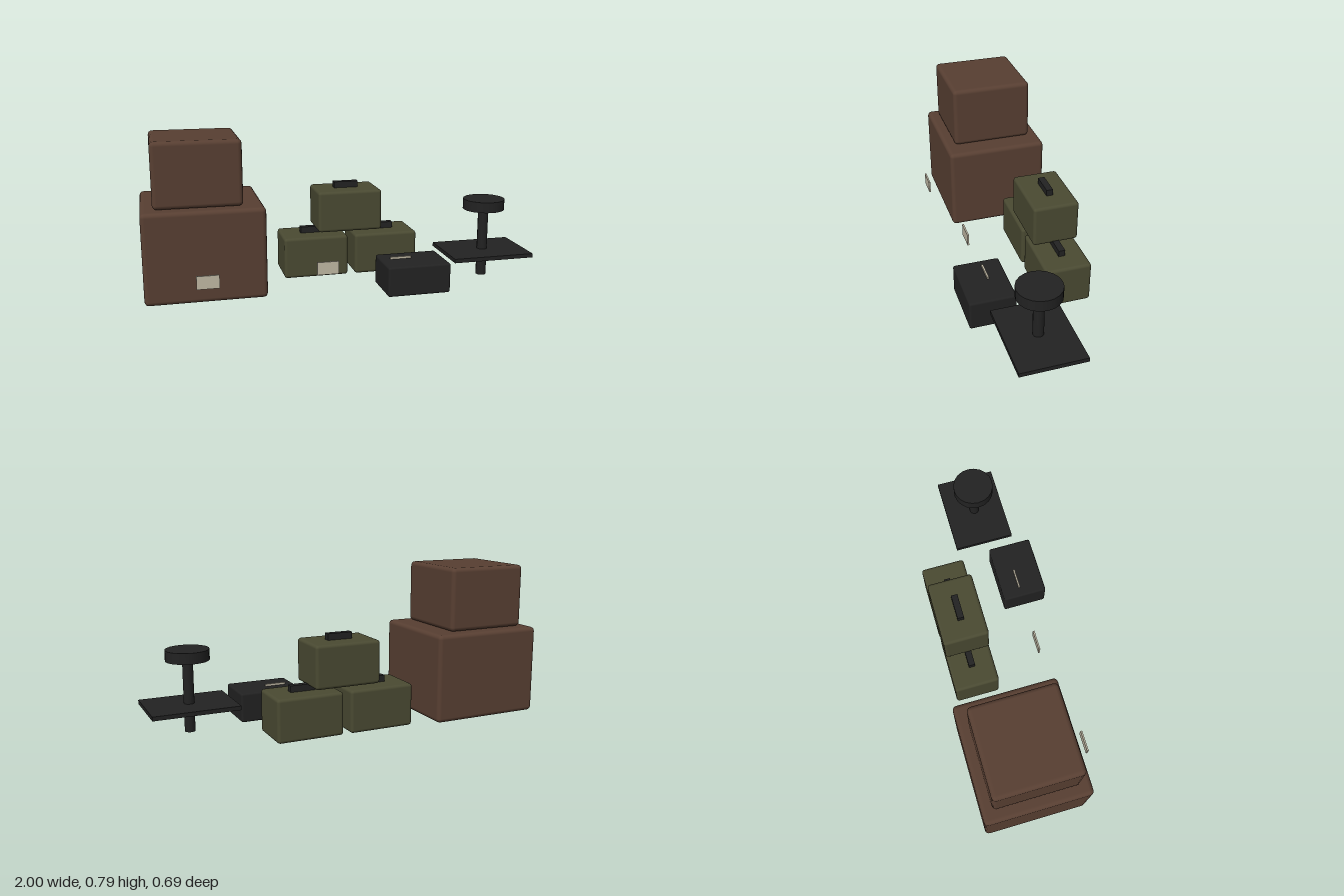
import * as THREE from 'three';
import { RoundedBoxGeometry } from 'three/addons/geometries/RoundedBoxGeometry.js';

export function createModel() {
  const model = new THREE.Group();
  model.name = 'luggageStack';

  const material = (name, color) => {
    const m = new THREE.MeshStandardMaterial({ color });
    m.name = name;
    return m;
  };
  const brown = material('brown leather', 0x583f32);
  const olive = material('olive canvas', 0x4a4a32);
  const black = material('black', 0x222222);
  const cream = material('cream label', 0xc0b8a4);

  const add = (name, geometry, mat, x, y, z, parent = model) => {
    const mesh = new THREE.Mesh(geometry, mat);
    mesh.name = name;
    mesh.position.set(x, y, z);
    parent.add(mesh);
    return mesh;
  };
  // Soft-edged box standing on height y
  const softBox = (name, w, h, d, r, mat, x, y, z, parent) =>
    add(name, new RoundedBoxGeometry(w, h, d, 2, r), mat, x, y + h / 2, z, parent);

  // Two stacked brown trunks
  softBox('lowerTrunk', 0.6, 0.46, 0.545, 0.022, brown, -0.7, 0, -0.072);
  softBox('upperTrunk', 0.436, 0.329, 0.436, 0.022, brown, -0.722, 0.461, -0.071);

  // Three olive cases in a pyramid, each with a handle
  const cases = [[-0.098, 0], [0.287, 0], [0.088, 0.241]];
  for (const [x, y] of cases) {
    const unit = new THREE.Group();
    unit.name = 'handledCase';
    unit.position.set(x, y, -0.18);
    softBox('caseBody', 0.346, 0.219, 0.24, 0.016, olive, 0, 0, 0, unit);
    add('caseHandle', new THREE.BoxGeometry(0.131, 0.034, 0.034), black, 0, 0.235, 0, unit);
    model.add(unit);
  }

  // Small black case
  softBox('blackCase', 0.327, 0.154, 0.24, 0.011, black, 0.342, 0, 0.224);

  // Flat tags in front of the luggage
  for (const [x, z] of [[-0.7, 0.28], [-0.098, 0.203], [0.284, 0.203]]) {
    add('tag', new THREE.BoxGeometry(0.11, 0.066, 0.009), cream, x, 0.132, z);
  }

  // Stand: post, flat tray and round top
  const stand = new THREE.Group();
  stand.name = 'stand';
  stand.position.set(0.78, 0, 0.094);
  add('post', new THREE.CylinderGeometry(0.027, 0.027, 0.37, 12), black, 0, 0.185, 0, stand);
  add('tray', new THREE.BoxGeometry(0.436, 0.021, 0.328), black, 0, 0.134, 0, stand);
  add('roundTop', new THREE.CylinderGeometry(0.109, 0.109, 0.055, 20), black, 0, 0.391, 0, stand);
  model.add(stand);

  return model;
}
